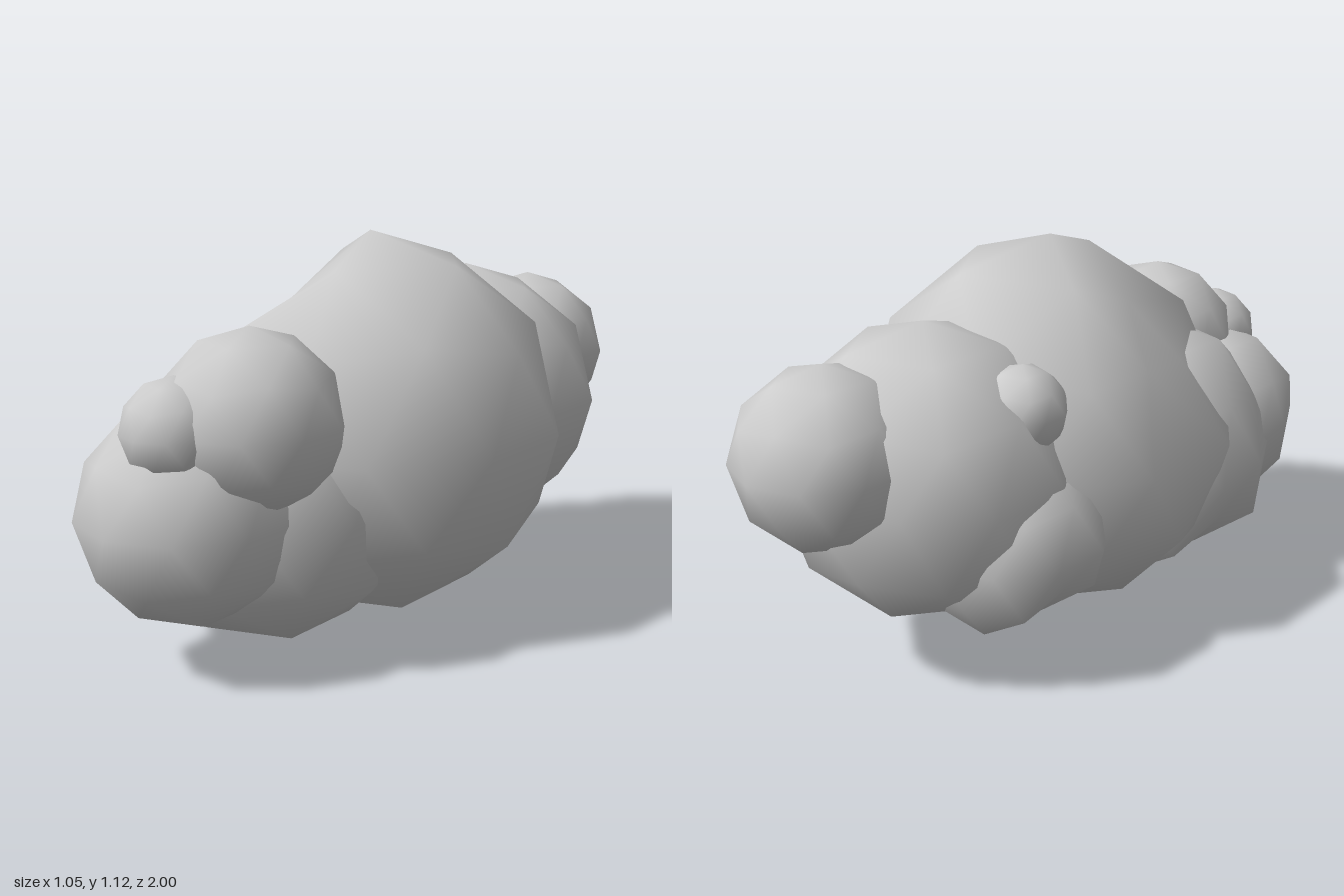
import * as THREE from 'three';
import { mergeVertices } from 'three/addons/utils/BufferGeometryUtils.js';

const material = new THREE.MeshStandardMaterial({ color: 0xcccccc });

// Smooth-shaded low-poly ball with one corner pointing straight up
function ballGeometry() {
  let geo = new THREE.IcosahedronGeometry(1, 1);
  geo.deleteAttribute('normal');
  geo.deleteAttribute('uv');
  geo = mergeVertices(geo, 1e-4);
  geo.rotateZ(Math.atan(2 / (1 + Math.sqrt(5))));
  geo.rotateY(Math.PI);
  return geo;
}

// Pull in the corners that lie close to a direction
function dent(geo, [x, y, z, minDot, factor]) {
  const direction = new THREE.Vector3(x, y, z).normalize();
  const p = geo.attributes.position;
  const v = new THREE.Vector3();
  for (let i = 0; i < p.count; i++) {
    v.fromBufferAttribute(p, i);
    if (v.dot(direction) > minDot) {
      v.multiplyScalar(factor);
      p.setXYZ(i, v.x, v.y, v.z);
    }
  }
}

// Name, centre, radius and dents (direction, reach, depth) of each puff of the cloud
const puffs = [
  ['mainPuff', [0, 0.572, 0.055], 0.553, [[-0.707, 0.644, 0.295, 0.9, 0.77]]],
  ['lowerFrontPuff', [-0.105, 0.415, 0.38], 0.413,
    [[-0.73, -0.68, 0, 0.9, 0.82], [-0.9, 0.33, 0.27, 0.9, 0.91]]],
  ['frontPuff', [-0.103, 0.436, 0.70], 0.302, [[-0.97, -0.2, 0.17, 0.93, 0.89]]],
  ['upperFrontPuff', [0.045, 0.68, 0.62], 0.25, []],
  ['smallFrontPuff', [-0.045, 0.68, 0.80], 0.142, []],
  ['backPuff', [-0.005, 0.572, -0.45], 0.412, [[-0.588, 0, -0.809, 0.95, 0.87]]],
  ['tailPuff', [0.043, 0.68, -0.75], 0.25, []],
  ['lowerBackPuff', [-0.20, 0.40, -0.34], 0.282, [[-0.73, -0.68, 0, 0.9, 0.82]]],
  ['smallBackPuff', [-0.268, 0.777, -0.352], 0.123, []],
];

export function createModel() {
  const cloud = new THREE.Group();
  cloud.name = 'cloud';
  for (const [name, centre, radius, dents] of puffs) {
    const geo = ballGeometry();
    for (const d of dents) dent(geo, d);
    geo.scale(radius, radius, radius);
    geo.computeVertexNormals();
    const puff = new THREE.Mesh(geo, material);
    puff.name = name;
    puff.position.set(...centre);
    cloud.add(puff);
  }
  return cloud;
}
